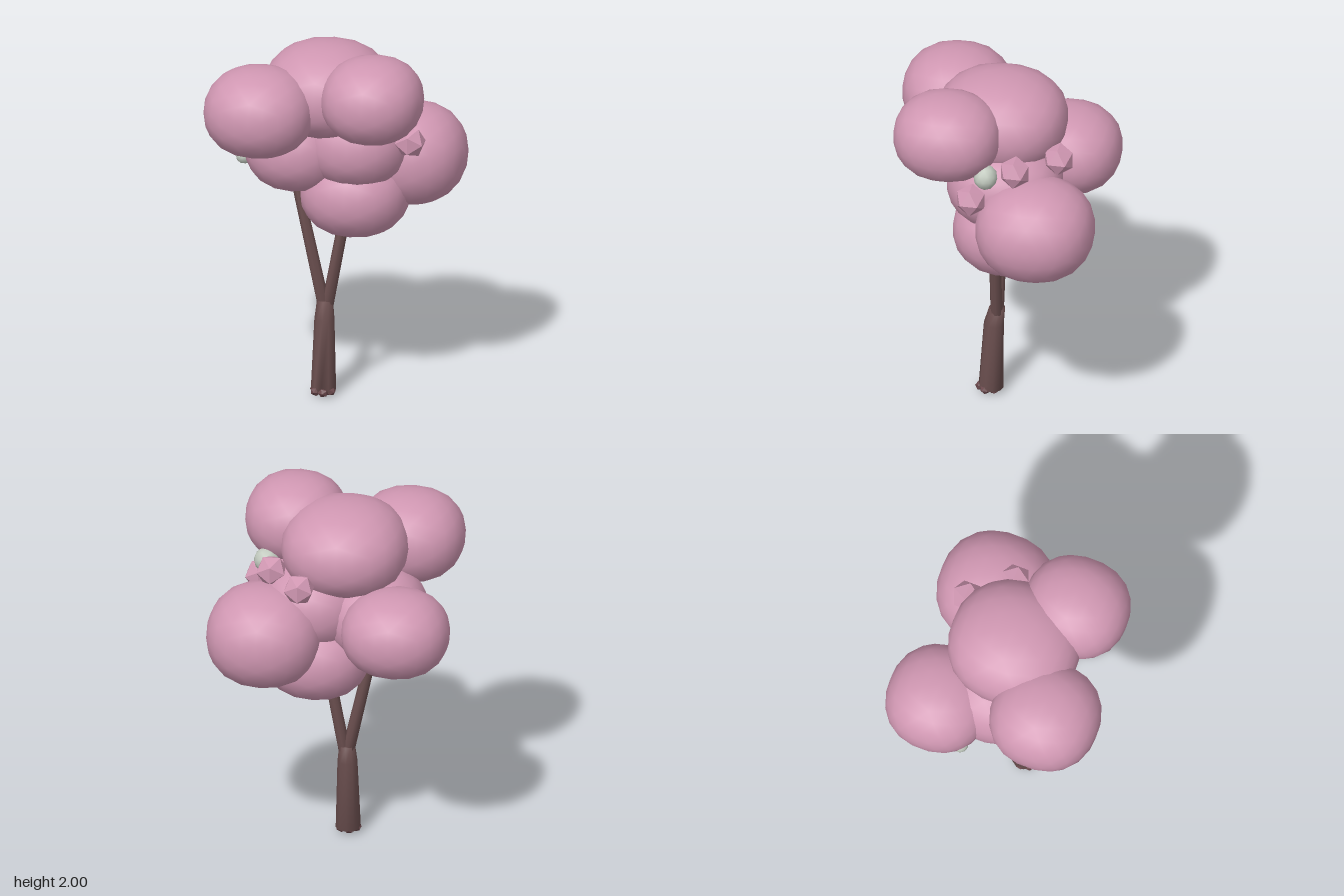
import * as THREE from 'three';
import { mergeVertices } from 'three/addons/utils/BufferGeometryUtils.js';

const pink = new THREE.MeshStandardMaterial({ color: 0xd097b2 });
const bark = new THREE.MeshStandardMaterial({ color: 0x6b4f4f });
const rootBrown = new THREE.MeshStandardMaterial({ color: 0x6a484c });
const paleGrey = new THREE.MeshStandardMaterial({ color: 0xc3cbc0 });

// Slightly squared unit ball with smooth normals
function puffGeometry() {
  let g = new THREE.IcosahedronGeometry(1, 3);
  g.deleteAttribute('uv');
  g.deleteAttribute('normal');
  g = mergeVertices(g, 1e-4);
  const p = g.attributes.position, v = new THREE.Vector3(), e = 2.25;
  for (let i = 0; i < p.count; i++) {
    v.fromBufferAttribute(p, i);
    const n = Math.abs(v.x) ** e + Math.abs(v.y) ** e + Math.abs(v.z) ** e;
    v.multiplyScalar(n ** (-1 / e));
    p.setXYZ(i, v.x, v.y, v.z);
  }
  g.computeVertexNormals();
  return g;
}

// Smooth tapered limb through a list of [x, y, z, radius]
function limb(name, rings, sides, material) {
  const pos = [], idx = [];
  rings.forEach(([x, y, z, r], j) => {
    for (let i = 0; i < sides; i++) {
      const a = (i / sides) * Math.PI * 2;
      pos.push(x + r * Math.sin(a), y, z + r * Math.cos(a));
      if (j < rings.length - 1) {
        const k = j * sides + i, n = j * sides + ((i + 1) % sides);
        idx.push(k, n, n + sides, k, n + sides, k + sides);
      }
    }
  });
  // End caps
  const last = (rings.length - 1) * sides;
  for (let i = 1; i < sides - 1; i++) idx.push(0, i + 1, i, last, last + i, last + i + 1);
  const g = new THREE.BufferGeometry();
  g.setAttribute('position', new THREE.Float32BufferAttribute(pos, 3));
  g.setIndex(idx);
  g.computeVertexNormals();
  const m = new THREE.Mesh(g, material);
  m.name = name;
  return m;
}

export function createModel() {
  const tree = new THREE.Group();
  tree.name = 'blossomTree';

  const add = (name, geometry, material, [x, y, z], [sx, sy, sz]) => {
    const m = new THREE.Mesh(geometry, material);
    m.name = name;
    m.position.set(x, y, z);
    m.scale.set(sx, sy, sz);
    tree.add(m);
    return m;
  };

  // Trunk and forked branches
  tree.add(limb('trunk', [
    [-0.057, 0.03, 0.057, 0.068], [-0.055, 0.43, 0.042, 0.054], [-0.056, 0.53, 0.024, 0.043],
  ], 10, bark));
  tree.add(limb('rightBranch', [[-0.062, 0.5, 0.024, 0.035], [-0.215, 1.2, 0.018, 0.029]], 8, bark));
  tree.add(limb('leftBranch', [[-0.042, 0.5, 0.024, 0.033], [0.085, 1.2, 0.018, 0.03]], 8, bark));

  // Knobbly roots around the base
  const knob = new THREE.IcosahedronGeometry(1, 0);
  for (let i = 0; i < 6; i++) {
    const a = (i / 6) * Math.PI * 2 + 0.3;
    const m = add('root', knob, rootBrown,
      [-0.057 + 0.046 * Math.cos(a), 0.033, 0.067 + 0.046 * Math.sin(a)], [0.03, 0.026, 0.03]);
    m.rotation.y = i;
  }
  add('rootCore', knob, rootBrown, [-0.057, 0.026, 0.067], [0.045, 0.026, 0.045]);

  // Foliage puffs: centre, radii
  const puff = puffGeometry();
  [
    ['frontRightPuff', [-0.355, 1.68, 0.295], [0.295, 0.24, 0.295]],
    ['frontLeftPuff', [0.25, 1.77, 0.235], [0.272, 0.23, 0.288]],
    ['crownPuff', [-0.05, 1.73, 0.0], [0.34, 0.25, 0.355]],
    ['backLeftPuff', [0.345, 1.3, -0.26], [0.31, 0.27, 0.318]],
    ['backRightPuff', [-0.37, 1.385, -0.305], [0.29, 0.23, 0.285]],
    ['lowerPuff', [0.09, 1.13, -0.08], [0.295, 0.238, 0.31]],
    ['middleLeftPuff', [0.11, 1.43, -0.05], [0.285, 0.24, 0.31]],
    ['middleRightPuff', [-0.22, 1.38, -0.05], [0.28, 0.24, 0.31]],
  ].forEach(([name, c, r]) => add(name, puff, pink, c, r));

  // Small faceted blossoms
  const bud = new THREE.IcosahedronGeometry(0.088, 0);
  [[0.145, 1.625, -0.35], [0.325, 1.625, -0.145], [0.42, 1.485, 0.075]]
    .forEach((c) => add('bud', bud, pink, c, [1, 1, 1]));

  // Pale buds, mostly tucked in the foliage
  const pale = new THREE.IcosahedronGeometry(1, 1);
  add('paleBud', pale, paleGrey, [0.375, 1.61, 0.005], [0.07, 0.07, 0.065]);
  add('paleBud', pale, paleGrey, [-0.53, 1.26, -0.125], [0.045, 0.045, 0.045]);

  return tree;
}
